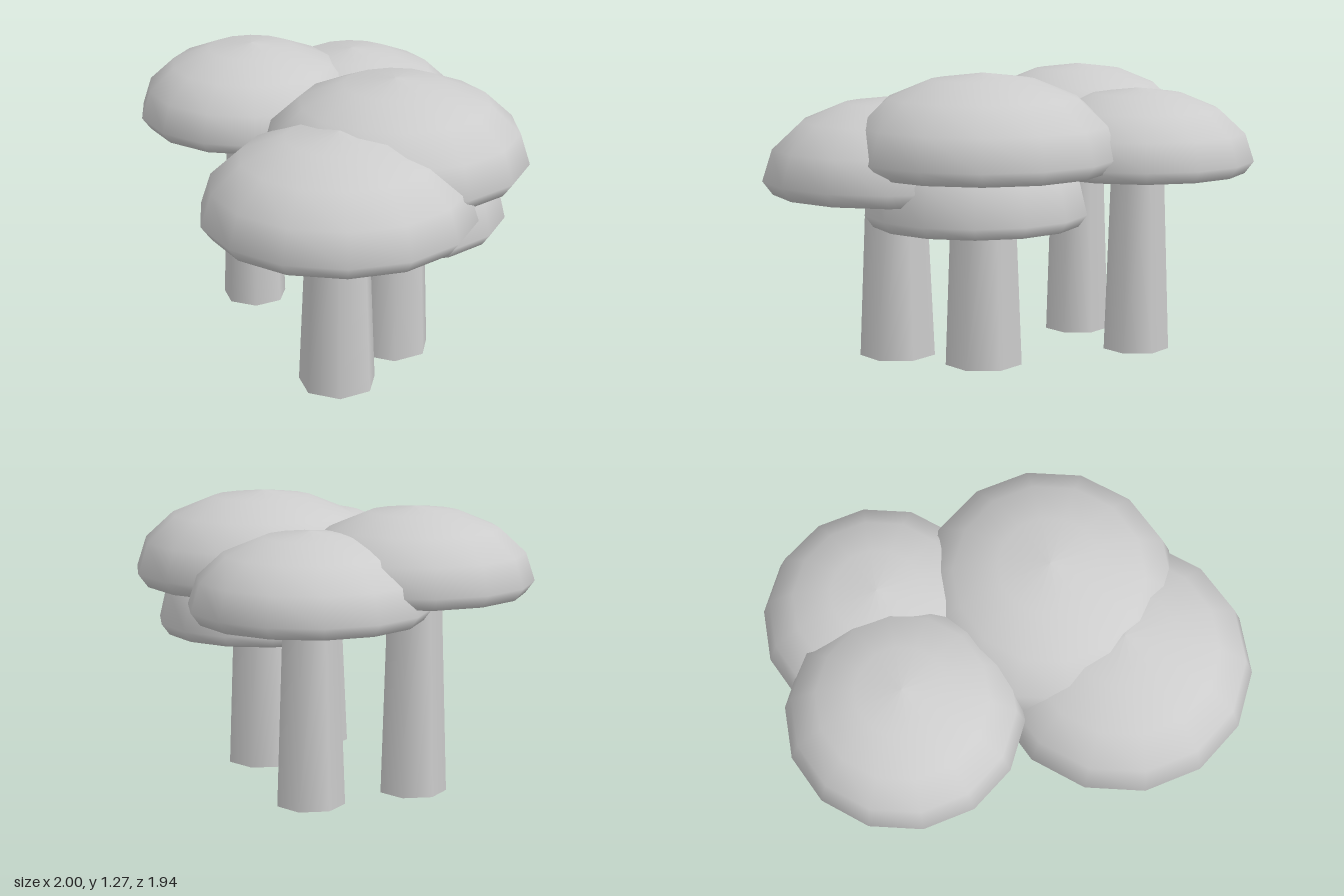
import * as THREE from 'three';

// Unit crown: half ellipsoid with a shallow tucked-in flat underside (base at y = 0)
function crownGeometry(radius, height, lip) {
  const points = [];
  for (const r of [0, 0.383, 0.707, 0.924]) points.push(new THREE.Vector2(r * radius, 0));
  for (let i = 0; i <= 4; i++) {
    const a = (i * Math.PI) / 8;
    const r = i === 4 ? 0 : Math.cos(a) * radius;
    points.push(new THREE.Vector2(r, lip + Math.sin(a) * (height - lip)));
  }
  return new THREE.LatheGeometry(points, 14);
}

export function createModel() {
  const group = new THREE.Group();
  const grey = new THREE.MeshStandardMaterial({ color: 0xcccccc });
  grey.name = 'light grey';

  function addCrown(name, x, y, z, radius, height, lip) {
    const crown = new THREE.Mesh(crownGeometry(radius, height, lip), grey);
    crown.name = name;
    crown.position.set(x, y, z);
    group.add(crown);
  }

  // Tapered seven-sided trunk reaching just inside its crown
  function addTrunk(name, x, z, radius, height) {
    const trunk = new THREE.Mesh(new THREE.CylinderGeometry(radius * 0.8, radius, height, 7), grey);
    trunk.name = name;
    trunk.position.set(x, height / 2, z);
    group.add(trunk);
  }

  // Four trees: name, x, z, crown base, crown radius, trunk radius
  const trees = [
    ['front', 0, 0.38, 0.85, 0.588, 0.17],
    ['frontRight', -0.427, 0.38, 0.735, 0.588, 0.17],
    ['left', 0.493, -0.18, 0.81, 0.519, 0.15],
    ['back', 0.085, -0.455, 0.89, 0.518, 0.15],
  ];
  for (const [name, x, z, base, radius, trunkRadius] of trees) {
    addTrunk(name + 'Trunk', x, z, trunkRadius, base + 0.03);
    addCrown(name + 'Crown', x, base, z, radius, radius * 0.714, radius * 0.102);
  }

  // Smaller second tier beneath the front crown
  addCrown('frontLowerCrown', -0.025, 0.62, 0.398, 0.486, 0.46, 0.05);

  return group;
}
